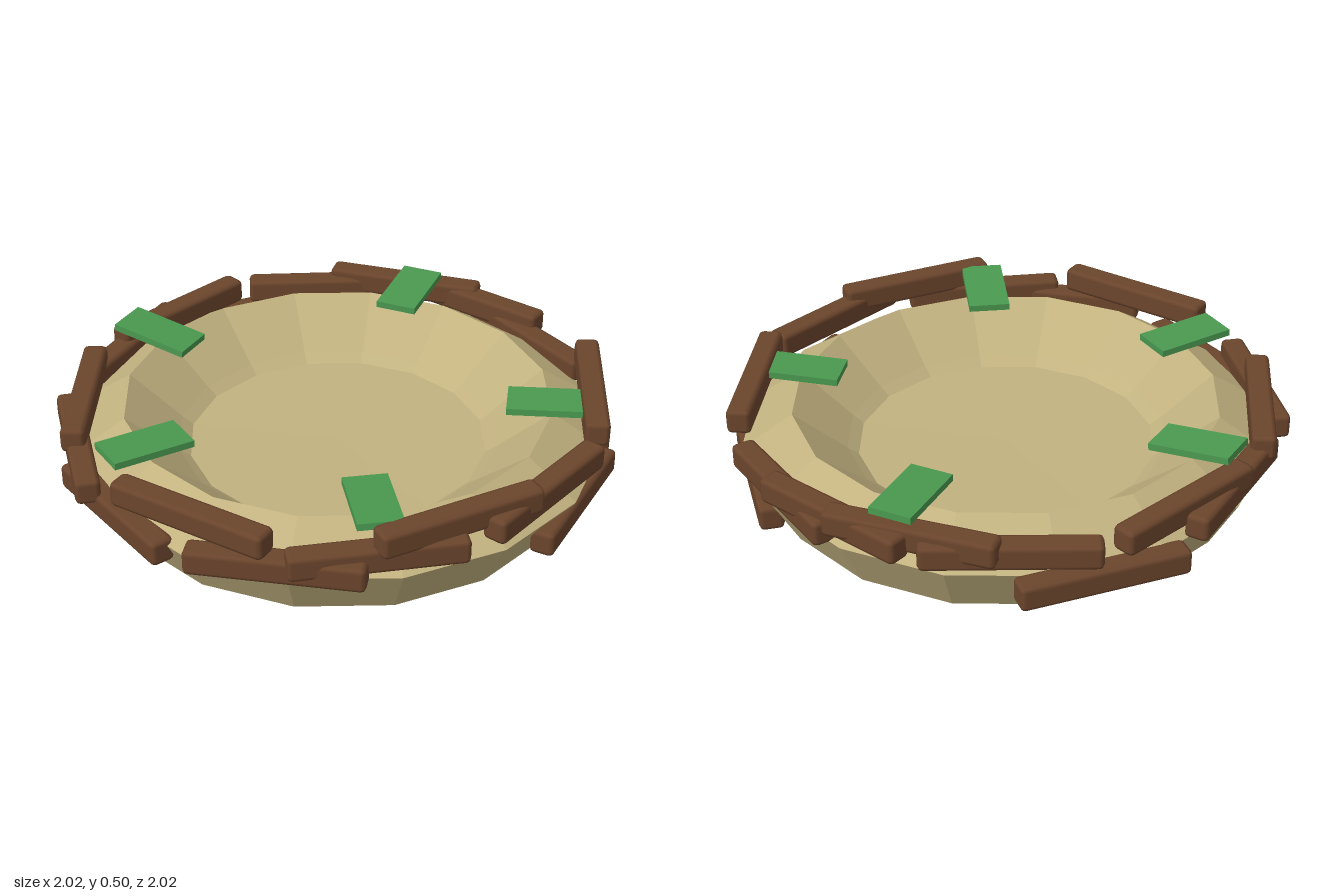
import * as THREE from 'three';
import { RoundedBoxGeometry } from 'three/addons/geometries/RoundedBoxGeometry.js';

const bowlMat = new THREE.MeshStandardMaterial({ color: 0xc2b280, flatShading: true, side: THREE.DoubleSide });
bowlMat.name = 'straw';
const twigMat = new THREE.MeshStandardMaterial({ color: 0x6b452c });
twigMat.name = 'bark';
const leafMat = new THREE.MeshStandardMaterial({ color: 0x4a9950 });
leafMat.name = 'leafGreen';

// Twigs: x, y, z of the centre, heading in degrees from +x towards +z
const TWIGS = [
  // front
  [-0.145, 0.455, 0.885, 8], [0.225, 0.415, 0.88, -15], [-0.415, 0.38, 0.81, 25],
  [-0.69, 0.345, 0.63, 45], [0.435, 0.25, 0.8, -27], [0.73, 0.455, 0.54, -52],
  // left side
  [0.855, 0.235, 0.29, -72], [0.91, 0.35, -0.015, 89], [0.87, 0.395, -0.3, 72],
  // back
  [0.72, 0.41, -0.55, 52], [0.48, 0.38, -0.77, 32], [0.22, 0.28, -0.92, 12],
  [-0.13, 0.4, -0.885, -10], [-0.38, 0.36, -0.83, -27],
  // right side
  [-0.74, 0.41, -0.53, -53], [-0.875, 0.35, -0.34, -68],
  [-0.92, 0.29, 0, 88], [-0.835, 0.44, 0.355, 67],
];

// Leaves: x, y, z of the centre, outward heading, upward tilt of the outer end
const LEAVES = [
  [-0.33, 0.47, -0.69, -116, 7], [0.64, 0.468, -0.42, -32, 2], [-0.765, 0.47, -0.053, 183, 2],
  [0.55, 0.46, 0.52, 43, 2], [-0.335, 0.475, 0.67, 116, 4],
];

function place(mesh, name, [x, y, z, heading, tilt = 0]) {
  mesh.name = name;
  mesh.position.set(x, y, z);
  mesh.rotation.set(0, -THREE.MathUtils.degToRad(heading), THREE.MathUtils.degToRad(tilt), 'YXZ');
  return mesh;
}

export function createModel() {
  const model = new THREE.Group();
  model.name = 'nest';

  // Sixteen-sided bowl with a ridged rim and a shallow floor
  const profile = [
    [0, 0], [0.54, 0], [0.85, 0.12], [0.955, 0.31], [0.77, 0.43], [0.58, 0.27], [0.54, 0.24], [0, 0.235],
  ].map(([r, y]) => new THREE.Vector2(r, y));
  const bowl = new THREE.Mesh(new THREE.LatheGeometry(profile, 16), bowlMat);
  bowl.name = 'bowl';
  model.add(bowl);

  // Chamfered twigs laid around the rim
  const twigGeo = new RoundedBoxGeometry(0.6, 0.092, 0.088, 1, 0.018);
  const twigs = new THREE.Group();
  twigs.name = 'twigs';
  TWIGS.forEach((t, i) => twigs.add(place(new THREE.Mesh(twigGeo, twigMat), `twig${i + 1}`, t)));
  model.add(twigs);

  // Flat leaves resting across the rim
  const leafGeo = new THREE.BoxGeometry(0.3, 0.025, 0.155);
  const leaves = new THREE.Group();
  leaves.name = 'leaves';
  LEAVES.forEach((l, i) => leaves.add(place(new THREE.Mesh(leafGeo, leafMat), `leaf${i + 1}`, l)));
  model.add(leaves);

  return model;
}
